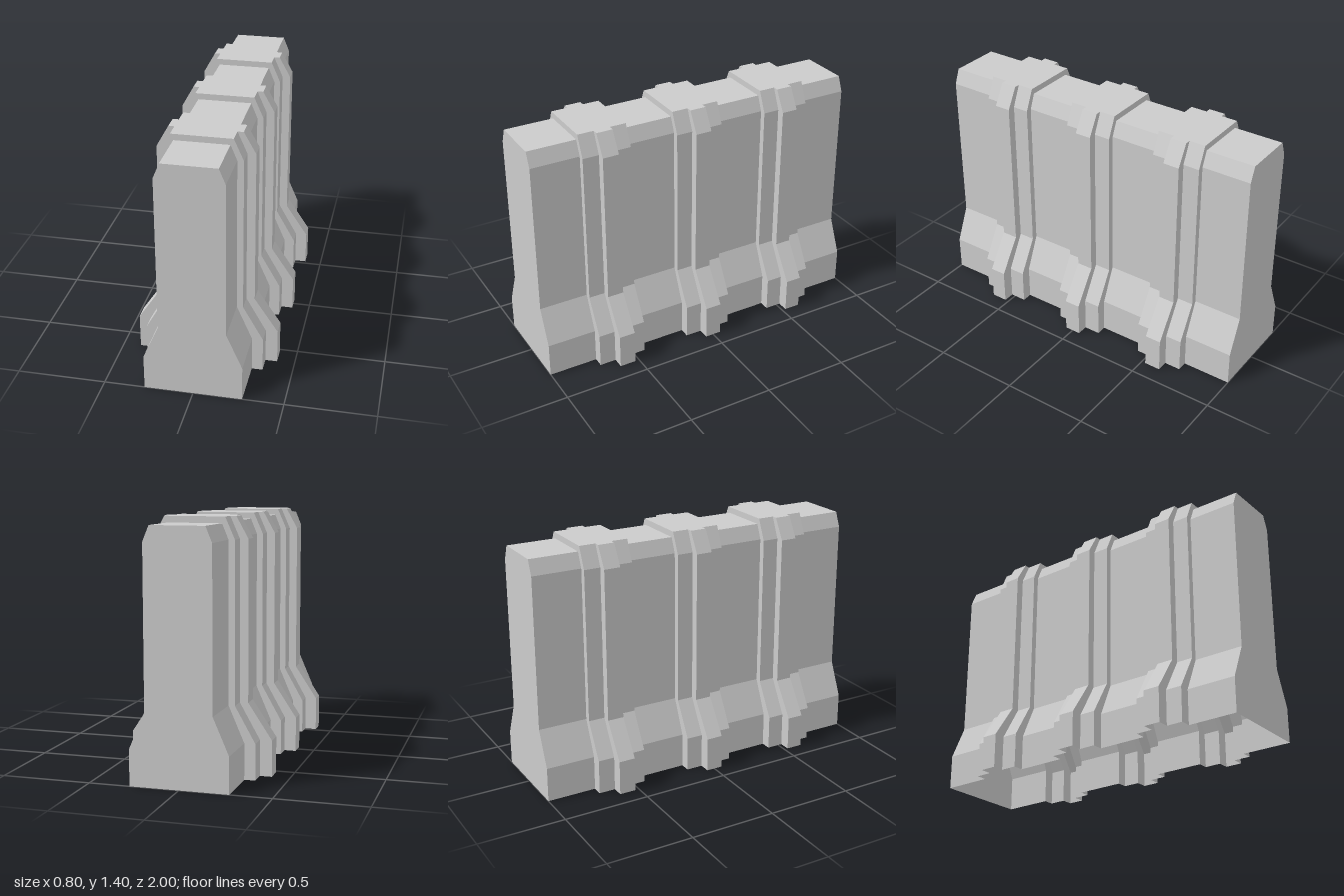
import * as THREE from 'three';

// Half cross-sections [x, y], from the foot up to the top edge
const panel = [[0.272, 0], [0.272, 0.2], [0.185, 0.4], [0.185, 1.28], [0.15, 1.365]];
const step = [[0.333, 0], [0.333, 0.2], [0.22, 0.4], [0.22, 1.28], [0.167, 1.4]];
const rib = [[0.4, 0], [0.4, 0.2], [0.267, 0.4], [0.267, 1.28], [0.2, 1.4]];

const material = new THREE.MeshStandardMaterial({
  color: 0xcccccc, flatShading: true, side: THREE.DoubleSide,
});

function quadMesh(name, quads) {
  const geometry = new THREE.BufferGeometry();
  const points = quads.flatMap(([a, b, c, d]) => [a, b, c, a, c, d]).flat();
  geometry.setAttribute('position', new THREE.Float32BufferAttribute(points, 3));
  geometry.computeVertexNormals();
  const mesh = new THREE.Mesh(geometry, material);
  mesh.name = name;
  return mesh;
}

// Full arch section at depth z: up the left side, down the right side
function section(half, z) {
  const side = half.map(([x, y]) => [x, y, z]);
  const mirrored = half.map(([x, y]) => [-x, y, z]).reverse();
  return [...side, ...mirrored];
}

function loft(sections) {
  const quads = [];
  for (let k = 0; k < sections.length - 1; k++) {
    const s = sections[k], t = sections[k + 1];
    for (let i = 0; i < s.length - 1; i++) {
      // Skip flat slivers where two sections share the same top line
      if (s[i][2] === t[i][2] && s[i][1] === s[i + 1][1] && s[i][1] === t[i][1]) continue;
      quads.push([s[i], s[i + 1], t[i + 1], t[i]]);
    }
  }
  return quads;
}

// End wall: stacked quads between both sides of a section
function cap(s, flip) {
  const quads = [];
  for (let i = 0; i < s.length / 2 - 1; i++) {
    const q = [s[i], s[i + 1], s[s.length - 2 - i], s[s.length - 1 - i]];
    quads.push(flip ? q.reverse() : q);
  }
  return quads;
}

export function createModel() {
  const group = new THREE.Group();
  group.name = 'ribbedBarrier';

  // Hollow shell, open below, with three stepped ribs
  const outer = 1 / 7, inner = 1 / 21;
  const sections = [section(panel, -1)];
  for (const centre of [-4 / 7, 0, 4 / 7]) {
    const stations = [
      [panel, -outer], [step, -outer], [step, -inner], [rib, -inner],
      [rib, inner], [step, inner], [step, outer], [panel, outer],
    ];
    for (const [half, dz] of stations) sections.push(section(half, centre + dz));
  }
  sections.push(section(panel, 1));

  group.add(quadMesh('shell', loft(sections)));
  group.add(quadMesh('frontEnd', cap(section(panel, 1), false)));
  group.add(quadMesh('backEnd', cap(section(panel, -1), true)));
  return group;
}
